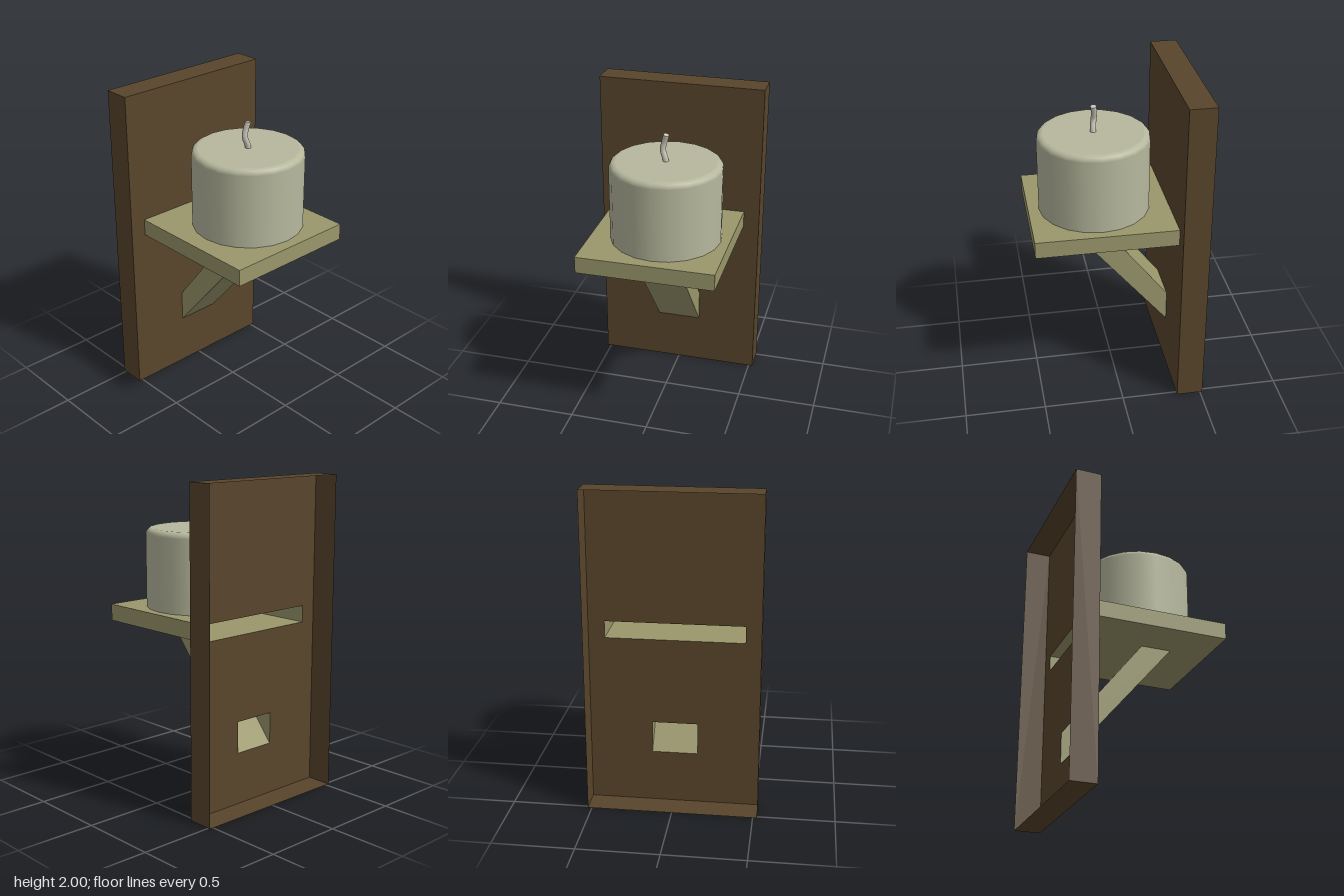
import * as THREE from 'three';

const paint = (color) => new THREE.MeshStandardMaterial({ color, side: THREE.DoubleSide });

function add(parent, name, geometry, material) {
  const mesh = new THREE.Mesh(geometry, material);
  mesh.name = name;
  parent.add(mesh);
  return mesh;
}

function addGroup(parent, name) {
  const group = new THREE.Group();
  group.name = name;
  parent.add(group);
  return group;
}

// Rectangle corners, counter-clockwise seen from the front
const rect = (w, y0, y1) => [[-w, y0], [w, y0], [w, y1], [-w, y1]];
const rectPath = (w, y0, y1) => rect(w, y0, y1).map(([x, y]) => new THREE.Vector2(x, y));
const loopAt = (corners, z) => corners.map(([x, y]) => [x, y, z]);

// Flat-sided open sleeve joining two loops; skip leaves out listed sides
function sleeve(a, b, skip = []) {
  const pos = [];
  a.forEach((p, i) => {
    if (skip.includes(i)) return;
    const j = (i + 1) % a.length;
    pos.push(...p, ...a[j], ...b[j], ...p, ...b[j], ...b[i]);
  });
  const g = new THREE.BufferGeometry();
  g.setAttribute('position', new THREE.Float32BufferAttribute(pos, 3));
  g.computeVertexNormals();
  return g;
}

function panel(outline, holes) {
  const shape = new THREE.Shape(outline);
  shape.holes = holes.map((h) => new THREE.Path(h));
  return new THREE.ShapeGeometry(shape);
}

export function createModel() {
  const model = new THREE.Group();
  model.name = 'candleShelf';
  const darkWood = paint(0x59452b);
  const lightWood = paint(0x9a976c);
  const wax = paint(0xb6b89d);
  const wickPaint = paint(0xc9c5b8);

  const BACK = -0.515, WALL = -0.35, FRONT = 0.515;
  const shelfW = 0.425, shelfY0 = 1.07, shelfY1 = 1.175;
  const strutW = 0.14, strutY0 = 0.33, strutY1 = 0.53;
  const strutZ0 = 0.07, strutZ1 = 0.265;

  // Backboard: a shell open at the back, pierced by the shelf and the strut
  const board = addGroup(model, 'backboard');
  const boardRect = rect(0.525, 0, 2);
  add(board, 'backboardRim', sleeve(loopAt(boardRect, BACK), loopAt(boardRect, WALL)), darkWood);
  add(board, 'backboardFace', panel(rectPath(0.525, 0, 2), [
    rectPath(shelfW, shelfY0, shelfY1),
    rectPath(strutW, strutY0, strutY1),
  ]), darkWood).position.z = WALL;

  // Shelf: hollow, open into the backboard and down into the strut
  const shelf = addGroup(model, 'shelf');
  const shelfRect = rect(shelfW, shelfY0, shelfY1);
  add(shelf, 'shelfTopAndSides', sleeve(loopAt(shelfRect, WALL), loopAt(shelfRect, FRONT), [0]), lightWood);
  add(shelf, 'shelfFrontEdge', panel(rectPath(shelfW, shelfY0, shelfY1), []), lightWood).position.z = FRONT;
  const underside = panel(rectPath(shelfW, WALL, FRONT), [rectPath(strutW, strutZ0, strutZ1)]);
  underside.rotateX(Math.PI / 2);
  add(shelf, 'shelfUnderside', underside, lightWood).position.y = shelfY0;

  // Slanted strut from the backboard up to the shelf
  const strutFoot = loopAt(rect(strutW, strutY0, strutY1), WALL);
  const strutHead = [
    [-strutW, shelfY0, strutZ1], [strutW, shelfY0, strutZ1],
    [strutW, shelfY0, strutZ0], [-strutW, shelfY0, strutZ0],
  ];
  add(model, 'strut', sleeve(strutFoot, strutHead), lightWood);

  // Candle with a rounded top edge
  const candle = addGroup(model, 'candle');
  candle.position.set(0.028, 0, 0.105);
  const R = 0.343, bevel = 0.036, top = 1.672, base = 1.172;
  const profile = [new THREE.Vector2(R, base)];
  for (let i = 0; i <= 4; i++) {
    const t = (i / 4) * Math.PI / 2;
    profile.push(new THREE.Vector2(R - bevel * (1 - Math.cos(t)), top - bevel * (1 - Math.sin(t))));
  }
  add(candle, 'candleSide', new THREE.LatheGeometry(profile, 20), wax);
  for (const [name, r, y, dir] of [['candleTop', R - bevel, top, -1], ['candleBase', R, base, 1]]) {
    const disc = new THREE.CircleGeometry(r, 20);
    disc.rotateX(dir * Math.PI / 2);
    add(candle, name, disc, wax).position.y = y;
  }

  // Crooked wick with a flat tip
  const path = new THREE.CatmullRomCurve3([
    [0, 1.66, 0], [-0.006, 1.69, 0], [-0.022, 1.74, -0.006],
    [-0.014, 1.785, -0.009], [0, 1.835, -0.002],
  ].map((p) => new THREE.Vector3(...p)));
  add(candle, 'wick', new THREE.TubeGeometry(path, 16, 0.018, 12), wickPaint);
  const tip = add(candle, 'wickTip', new THREE.CircleGeometry(0.018, 12), wickPaint);
  tip.position.copy(path.getPoint(1));
  tip.quaternion.setFromUnitVectors(new THREE.Vector3(0, 0, 1), path.getTangent(1));

  return model;
}
